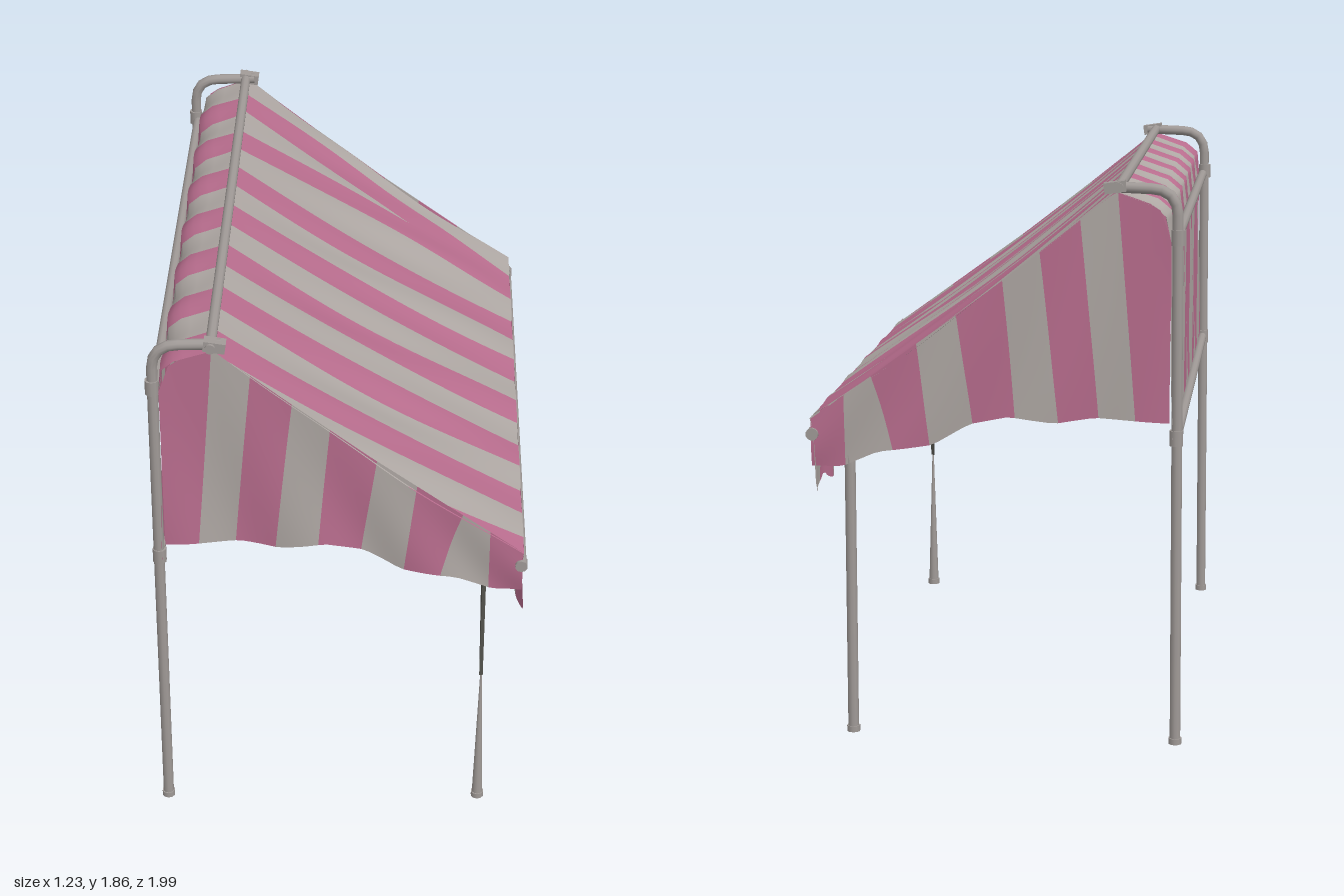
import * as THREE from 'three';

const mat = (name, color, side = THREE.FrontSide) => {
  const m = new THREE.MeshStandardMaterial({ color, side });
  m.name = name;
  return m;
};
const lerp = THREE.MathUtils.lerp;
const clamp = THREE.MathUtils.clamp;
const V = (x, y, z) => new THREE.Vector3(x, y, z);

// piecewise linear value along a list of [x, y] points
function along(points, x) {
  for (let i = 1; i < points.length; i++) {
    const [x0, y0] = points[i - 1], [x1, y1] = points[i];
    if (x <= x1) return lerp(y0, y1, clamp((x - x0) / (x1 - x0), 0, 1));
  }
  return points[points.length - 1][1];
}

export function createModel() {
  const group = new THREE.Group();
  const grey = mat('greyCloth', 0xb0a9a5, THREE.DoubleSide);
  const pink = mat('pinkCloth', 0xba6e8f, THREE.DoubleSide);
  const steel = mat('steel', 0xa09a97);
  const dark = mat('darkSteel', 0x55554f);

  const add = (name, geo, material) => {
    const mesh = new THREE.Mesh(geo, material);
    mesh.name = name;
    group.add(mesh);
    return mesh;
  };

  // striped cloth: columns follow the stripe edges, stripes alternate grey and pink
  function cloth(name, edges, point, rows = 14, sub = 5, reversed = false) {
    const pos = [], index = [];
    const stripes = edges(0).length - 1, cols = stripes * sub;
    for (let r = 0; r <= rows; r++) {
      const t = r / rows, e = edges(t);
      for (let c = 0; c <= cols; c++) {
        const k = Math.min(Math.floor(c / sub), stripes - 1);
        pos.push(...point(lerp(e[k], e[k + 1], c / sub - k), t));
      }
    }
    const geo = new THREE.BufferGeometry();
    for (let k = 0; k < stripes; k++) {
      const start = index.length;
      for (let c = k * sub; c < (k + 1) * sub; c++) {
        for (let r = 0; r < rows; r++) {
          const a = r * (cols + 1) + c, b = a + cols + 1;
          if (reversed) index.push(a, b, a + 1, b, b + 1, a + 1);
          else index.push(a, a + 1, b, b, a + 1, b + 1);
        }
      }
      geo.addGroup(start, index.length - start, k % 2);
    }
    geo.setAttribute('position', new THREE.Float32BufferAttribute(pos, 3));
    geo.setIndex(index);
    geo.computeVertexNormals();
    return add(name, geo, [grey, pink]);
  }

  // edges of the pink bands, kept in order and inside the cloth
  const HALF = 0.98;
  function bands(centres, half = 0.07) {
    const e = [-HALF];
    for (const c of centres) {
      for (const v of [c - half, c + half]) e.push(clamp(v, e[e.length - 1], HALF));
    }
    return [...e, HALF];
  }
  const rearCentres = [-0.755, -0.475, -0.2, 0.083, 0.363, 0.643, 0.92];
  const valanceCentres = [-0.735, -0.44, -0.165, 0.1, 0.38, 0.655, 0.92];
  const slanted = t => [...rearCentres, 1.2].map((c, i) => {
    const bow = Math.sin(Math.PI * t);
    if (i === 0) return -0.78 - 0.06 * bow;
    return c - (i === 1 ? 0.25 * t + 0.07 * bow : 0.235 * t);
  });

  // sagging roof, with slanted stripes that merge near one end
  cloth('roof', t => bands(slanted(t)), (z, t) => {
    const w = Math.sin(Math.PI * t) * (0.005 * Math.sin(z * 13 + t * 6) + 0.003 * Math.sin(z * 29 + t * 11) - 0.022);
    return [-0.39 + 0.992 * t + w * 0.6, 1.825 - 0.752 * t + w * 0.8 + 0.006 * t * Math.sin(z * 17), z];
  }, 24);

  // scalloped front valance
  const hang = [[0, 0.602], [0.2, 0.593], [1, 0.595]];
  cloth('valance', () => bands(valanceCentres), (z, t) => {
    const drop = 0.215 + 0.05 * Math.sqrt(Math.abs(Math.sin((z + HALF) / (2 * HALF) * Math.PI * 9)));
    return [along(hang, t) + 0.011 * t * Math.sin(z * 21), 1.073 - drop * t, z];
  }, 8, 8);

  // rear wall, and the strip that rises from it and turns in to the ridge
  cloth('rearWall', () => bands(rearCentres), (z, t) =>
    [lerp(-0.582, -0.57, t) + 0.006 * Math.sin(Math.PI * t) * Math.sin(z * 12 + t * 3), lerp(1.025, 1.67, t), z]);
  const stripX = [[0, -0.57], [0.4, -0.557], [0.6, -0.515], [1, -0.4]];
  const stripY = [[0, 1.67], [0.4, 1.75], [0.6, 1.785], [1, 1.825]];
  cloth('rearStrip', () => bands(rearCentres), (z, t) => {
    const w = 0.008 * Math.sin(Math.PI * t) * Math.sin(z * 22);
    return [along(stripX, t) - w, along(stripY, t) + w * 0.6, z];
  }, 10);

  // side walls, hanging with a wavy lower edge
  const hem = [[-0.57, 1.08], [-0.33, 1.09], [-0.2, 1.07], [-0.05, 1.09], [0.08, 1.06],
    [0.2, 0.99], [0.38, 0.965], [0.5, 0.91], [0.6, 0.91]];
  const eave = [[-0.57, 1.67], [-0.557, 1.75], [-0.515, 1.785], [-0.4, 1.825], [-0.38, 1.815],
    [-0.15, 1.63], [0.1, 1.435], [0.35, 1.252], [0.6, 1.07]];
  const low = [-0.57, -0.57, -0.46, -0.34, -0.21, -0.07, 0.07, 0.21, 0.33, 0.49, 0.6];
  const high = [-0.57, -0.57, -0.4, -0.28, -0.15, -0.03, 0.12, 0.25, 0.4, 0.49, 0.6];
  for (const s of [1, -1]) {
    cloth(s > 0 ? 'leftSideWall' : 'rightSideWall', t => low.map((v, i) => lerp(v, high[i], t)),
      (x, t) => [x, lerp(along(hem, x), along(eave, x), t),
        s * (0.975 - 0.01 * (1 - t) * (1 + Math.sin(x * 15 + t * 3)))], 12, 5, s < 0);
  }

  // frame tubes
  function rod(name, a, b, r = 0.016) {
    const mesh = add(name, new THREE.CylinderGeometry(r, r, a.distanceTo(b), 10), steel);
    mesh.position.copy(a).lerp(b, 0.5);
    mesh.quaternion.setFromUnitVectors(V(0, 1, 0), b.clone().sub(a).normalize());
  }
  function bent(name, points, r) {
    const path = new THREE.CurvePath();
    path.add(new THREE.LineCurve3(points[0], points[1]));
    path.add(new THREE.QuadraticBezierCurve3(points[1], points[2], points[3]));
    path.add(new THREE.LineCurve3(points[3], points[4]));
    add(name, new THREE.TubeGeometry(path, 60, r, 10), steel);
  }
  rod('ridgeBar', V(-0.402, 1.84, -0.995), V(-0.402, 1.84, 0.995), 0.017);
  rod('rearUpperBar', V(-0.585, 1.67, -0.96), V(-0.585, 1.67, 0.96));
  rod('rearLowerBar', V(-0.592, 1.03, -0.96), V(-0.592, 1.03, 0.96));
  rod('frontBar', V(0.598, 1.02, -0.98), V(0.598, 1.02, 0.98), 0.015);

  for (const s of [1, -1]) {
    const z = s * 0.957;
    // rear post, leaning slightly and turning in to the ridge
    bent('rearPost', [V(-0.599, 0, z), V(-0.59, 1.745, z), V(-0.59, 1.83, z),
      V(-0.51, 1.835, z), V(-0.37, 1.84, z)], 0.018);
    for (const y of [1.03, 1.68]) rod('postCollar', V(-0.592, y - 0.025, z), V(-0.592, y + 0.025, z), 0.023);
    rod('rearFoot', V(-0.599, 0, z), V(-0.599, 0.02, z), 0.022);
    // clamps at the bar ends
    const clampBox = add('ridgeClamp', new THREE.BoxGeometry(0.07, 0.035, 0.04), steel);
    clampBox.position.set(-0.39, 1.84, s * 0.965);
    clampBox.rotation.z = -0.15;
    rod('frontBarClamp', V(0.595, 1.02, s * 0.95), V(0.595, 1.02, s * 0.985), 0.021);
  }

  // sound front leg
  bent('rightFrontLeg', [V(0.477, 0, -0.94), V(0.477, 0.9, -0.94), V(0.477, 1.0, -0.94),
    V(0.53, 1.02, -0.94), V(0.59, 1.02, -0.94)], 0.018);
  rod('rightFrontFoot', V(0.477, 0, -0.94), V(0.477, 0.02, -0.94), 0.022);

  // pinched front leg: a tapering lower half and a flat folded upper half
  add('leftFrontLegLower', new THREE.CylinderGeometry(0.003, 0.019, 0.53, 10), steel)
    .position.set(0.477, 0.265, 0.935);
  rod('leftFrontFoot', V(0.477, 0, 0.935), V(0.477, 0.02, 0.935), 0.022);
  const flap = new THREE.Shape([[0.935, 0.53], [0.94, 0.96], [0.775, 0.92]].map(p => new THREE.Vector2(...p)));
  const flapGeo = new THREE.ExtrudeGeometry(flap, { depth: 0.012, bevelEnabled: false });
  flapGeo.rotateY(-Math.PI / 2);
  add('leftFrontLegUpper', flapGeo, dark).position.x = 0.483;

  return group;
}
